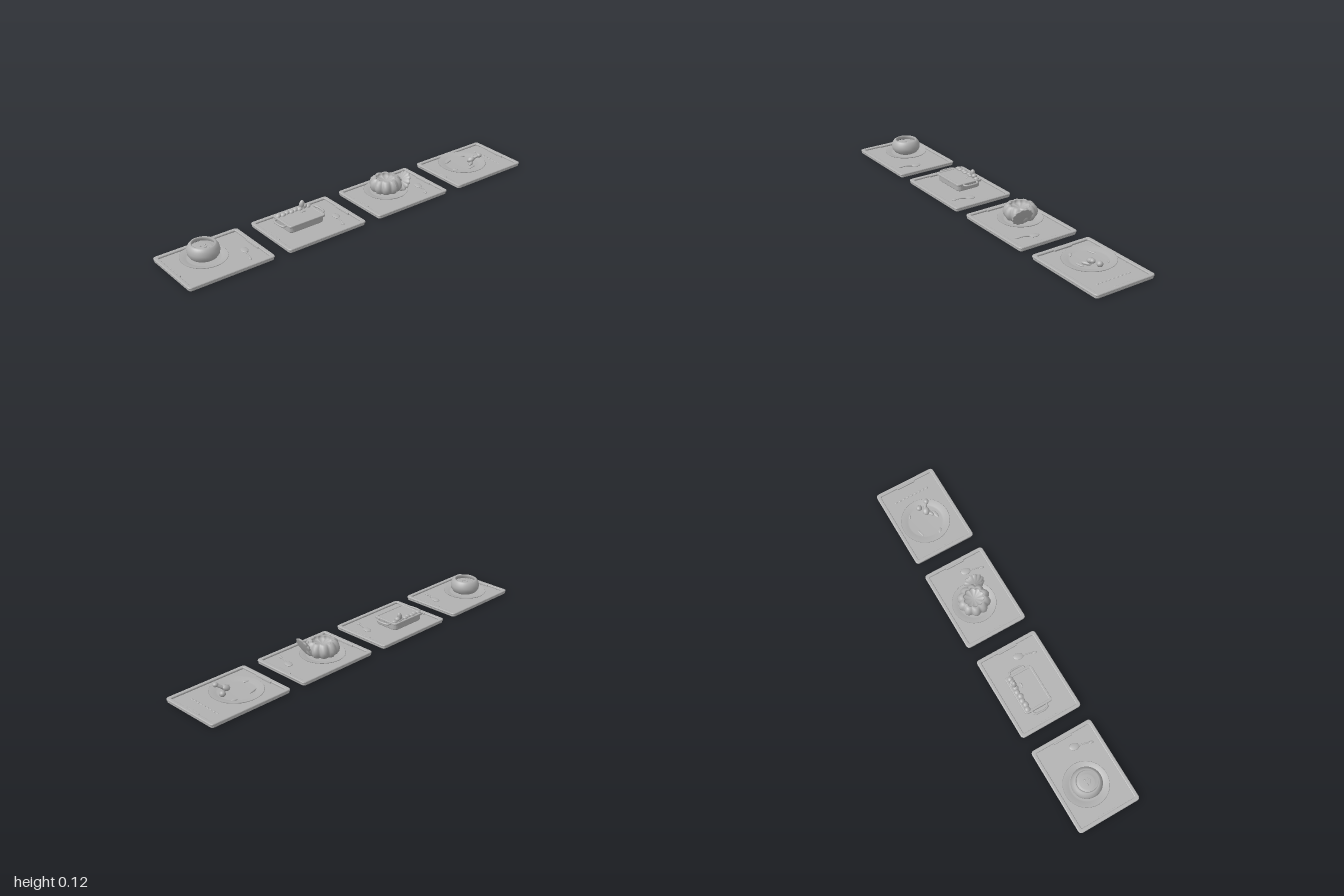
import * as THREE from 'three';

const grey = new THREE.MeshStandardMaterial({ color: 0xb0b0b0 });
grey.name = 'plain grey';

function add(parent, name, geo, x = 0, y = 0, z = 0) {
  const m = new THREE.Mesh(geo, grey);
  m.name = name;
  m.position.set(x, y, z);
  parent.add(m);
  return m;
}

function roundRect(w, d, r, T = THREE.Shape) {
  const s = new T(), x = w / 2, y = d / 2;
  s.moveTo(-x + r, -y).lineTo(x - r, -y).quadraticCurveTo(x, -y, x, -y + r);
  s.lineTo(x, y - r).quadraticCurveTo(x, y, x - r, y);
  s.lineTo(-x + r, y).quadraticCurveTo(-x, y, -x, y - r);
  s.lineTo(-x, -y + r).quadraticCurveTo(-x, -y, -x + r, -y);
  return s;
}

// Horizontal rounded slab with its bottom on y = 0; hole = [width, depth, radius]
function slab(w, d, r, h, bevel, hole) {
  const s = roundRect(w - 2 * bevel, d - 2 * bevel, r);
  if (hole) s.holes.push(roundRect(...hole, THREE.Path));
  const g = new THREE.ExtrudeGeometry(s, {
    depth: h - 2 * bevel, bevelSize: bevel, bevelThickness: bevel, bevelSegments: 3, curveSegments: 5
  });
  return g.rotateX(-Math.PI / 2).translate(0, bevel, 0);
}

const lathe = (pts, n = 40) => new THREE.LatheGeometry(pts.map(p => new THREE.Vector2(...p)), n);

// Press pumpkin grooves into a turned shape
function ribbed(pts, lobes, depth) {
  const g = lathe(pts, lobes * 8), p = g.attributes.position;
  for (let i = 0; i < p.count; i++) {
    const a = Math.atan2(p.getZ(i), p.getX(i));
    const k = 1 - depth * (1 - Math.abs(Math.sin(a * lobes / 2)));
    p.setX(i, p.getX(i) * k);
    p.setZ(i, p.getZ(i) * k);
  }
  g.computeVertexNormals();
  return g;
}

function blob(parent, name, pos, size, rot = [0, 0, 0]) {
  const m = add(parent, name, new THREE.SphereGeometry(1, 16, 10), ...pos);
  m.scale.set(...size);
  m.rotation.set(...rot);
  return m;
}

function tube(parent, name, pts, r, closed = false) {
  const c = new THREE.CatmullRomCurve3(pts.map(p => new THREE.Vector3(...p)), closed);
  return add(parent, name, new THREE.TubeGeometry(c, 16, r, 8, closed));
}

function makeTray(x) {
  const t = new THREE.Group();
  t.name = 'tray';
  t.position.x = x;
  add(t, 'trayBase', slab(0.438, 0.322, 0.012, 0.012, 0.004), 0, 0.001);
  add(t, 'trayRim', slab(0.444, 0.328, 0.014, 0.011, 0.0045, [0.414, 0.298, 0.012]), 0, 0.011);
  // Grips on the two short ends
  for (const s of [-1, 1]) add(t, 'trayGrip', slab(0.008, 0.1, 0.002, 0.008, 0.001), s * 0.2, 0.013);
  return t;
}

function makePlate(t, x, z, r) {
  add(t, 'plate', lathe([[0, 0.013], [r * 0.62, 0.013], [r * 0.7, 0.02], [r * 0.97, 0.028], [r, 0.031],
    [r * 0.98, 0.033], [r * 0.74, 0.027], [r * 0.68, 0.024], [0, 0.024]], 48), x, 0, z);
}

function makeSpoon(t) {
  const s = new THREE.Group();
  s.name = 'spoon';
  blob(s, 'spoonBowl', [0.142, 0.018, 0.028], [0.018, 0.005, 0.025], [0, -0.25, 0]);
  tube(s, 'spoonHandle', [[0.137, 0.018, 0.05], [0.129, 0.021, 0.08], [0.122, 0.018, 0.108]], 0.0035);
  blob(s, 'spoonEnd', [0.121, 0.018, 0.107], [0.007, 0.004, 0.013], [0, -0.25, 0]);
  t.add(s);
}

export function createModel() {
  const model = new THREE.Group();
  model.name = 'mealTrays';
  const trays = [-0.778, -0.26, 0.26, 0.778].map(x => {
    const t = makeTray(x);
    model.add(t);
    return t;
  });
  trays.slice(0, 3).forEach(makeSpoon);

  // Tray with a round soup bowl
  const a = trays[0];
  makePlate(a, -0.04, -0.02, 0.11);
  add(a, 'soupBowl', lathe([[0, 0.024], [0.045, 0.024], [0.062, 0.034], [0.073, 0.05], [0.075, 0.066],
    [0.071, 0.084], [0.062, 0.096], [0.055, 0.1], [0.05, 0.097], [0.052, 0.088], [0.056, 0.078]]), -0.04, 0, -0.02);
  add(a, 'soup', lathe([[0.058, 0.076], [0.038, 0.078], [0.035, 0.081], [0, 0.081]]), -0.04, 0, -0.02);
  for (const s of [-1, 1]) blob(a, 'garnish', [-0.04 + s * 0.012, 0.082, -0.025], [0.005, 0.004, 0.005]);
  tube(a, 'garnishStrip', [[-0.055, 0.082, -0.01], [-0.04, 0.082, -0.002], [-0.025, 0.082, -0.01]], 0.002);

  // Tray with a rectangular baking dish
  const b = trays[1];
  const dish = new THREE.Group();
  dish.name = 'bakingDish';
  dish.position.set(-0.036, 0, -0.022);
  b.add(dish);
  add(dish, 'dishBody', slab(0.196, 0.134, 0.015, 0.036, 0.008), 0, 0.02);
  add(dish, 'dishRim', slab(0.206, 0.146, 0.012, 0.012, 0.003, [0.186, 0.126, 0.01]), 0, 0.05);
  add(dish, 'bakedFilling', slab(0.188, 0.128, 0.012, 0.01, 0.003), 0, 0.049);
  for (const s of [-1, 1]) {
    tube(dish, 'dishHandle', [[s * 0.098, 0.055, -0.04], [s * 0.118, 0.054, -0.034],
      [s * 0.118, 0.054, 0.034], [s * 0.098, 0.055, 0.04]], 0.005);
  }
  // Row of topping along the back
  for (let i = 0; i < 8; i++) {
    blob(dish, 'topping', [-0.084 + i * 0.024, 0.061, -0.054 + (i % 2) * 0.005], [0.015, 0.01, 0.014], [0, 0, 0.3]);
  }
  blob(dish, 'toppingPeak', [0.05, 0.081, -0.05], [0.013, 0.021, 0.012], [0, 0, -0.2]);
  blob(dish, 'toppingPeakSide', [0.065, 0.07, -0.05], [0.014, 0.012, 0.014]);
  blob(dish, 'crumb', [0.035, 0.06, -0.018], [0.014, 0.004, 0.005]);

  // Tray with an open pumpkin and its lid leaning beside it
  const c = trays[2];
  makePlate(c, -0.03, -0.02, 0.11);
  add(c, 'pumpkin', ribbed([[0, 0.026], [0.05, 0.026], [0.07, 0.034], [0.081, 0.05], [0.083, 0.066],
    [0.078, 0.084], [0.066, 0.097], [0.055, 0.1], [0.049, 0.096], [0.052, 0.08], [0, 0.078]], 10, 0.14), -0.03, 0, -0.02);
  const lid = new THREE.Group();
  lid.name = 'pumpkinLid';
  lid.position.set(0.044, 0.073, 0.024);
  lid.rotation.set(0, -0.15, 1.1);
  c.add(lid);
  add(lid, 'lidCap', ribbed([[0, -0.006], [0.051, -0.006], [0.053, -0.002], [0.048, 0.004], [0.032, 0.012], [0, 0.013]], 12, 0.1));
  tube(lid, 'lidStem', [[0, 0.01, 0], [0.002, 0.02, 0], [0.008, 0.028, 0.004]], 0.007);

  // Tray with a large plate of scattered pieces
  const d = trays[3];
  makePlate(d, -0.035, -0.012, 0.124);
  blob(d, 'roundPiece', [0.04, 0.038, -0.008], [0.015, 0.014, 0.015]);
  const shaft = [[-0.008, 0.042, 0.008], [0.015, 0.05, 0.015], [0.04, 0.066, 0.034]];
  tube(d, 'mushroomStem', shaft, 0.008);
  blob(d, 'mushroomTip', [0.042, 0.067, 0.036], [0.014, 0.011, 0.013]);
  blob(d, 'mushroomCap', [0.004, 0.046, 0.014], [0.021, 0.014, 0.017], [0, -0.5, 0.4]);
  blob(d, 'longPiece', [-0.007, 0.032, 0.028], [0.025, 0.008, 0.01], [0, 0.5, 0]);
  blob(d, 'slice', [-0.025, 0.026, 0.052], [0.024, 0.004, 0.009], [0, 0.15, 0]);
  blob(d, 'slice', [-0.118, 0.027, 0.026], [0.016, 0.004, 0.008], [0, -0.6, 0]);
  blob(d, 'sliver', [-0.082, 0.026, -0.066], [0.026, 0.004, 0.005], [0, 0.25, 0]);
  blob(d, 'sliver', [0.025, 0.026, -0.07], [0.015, 0.004, 0.005], [0, -0.4, 0]);
  // Row of crumbs beside the plate
  for (let i = 0; i < 9; i++) blob(d, 'crumb', [0.136, 0.013, -0.09 + i * 0.022], [0.005, 0.003, 0.008]);
  return model;
}
